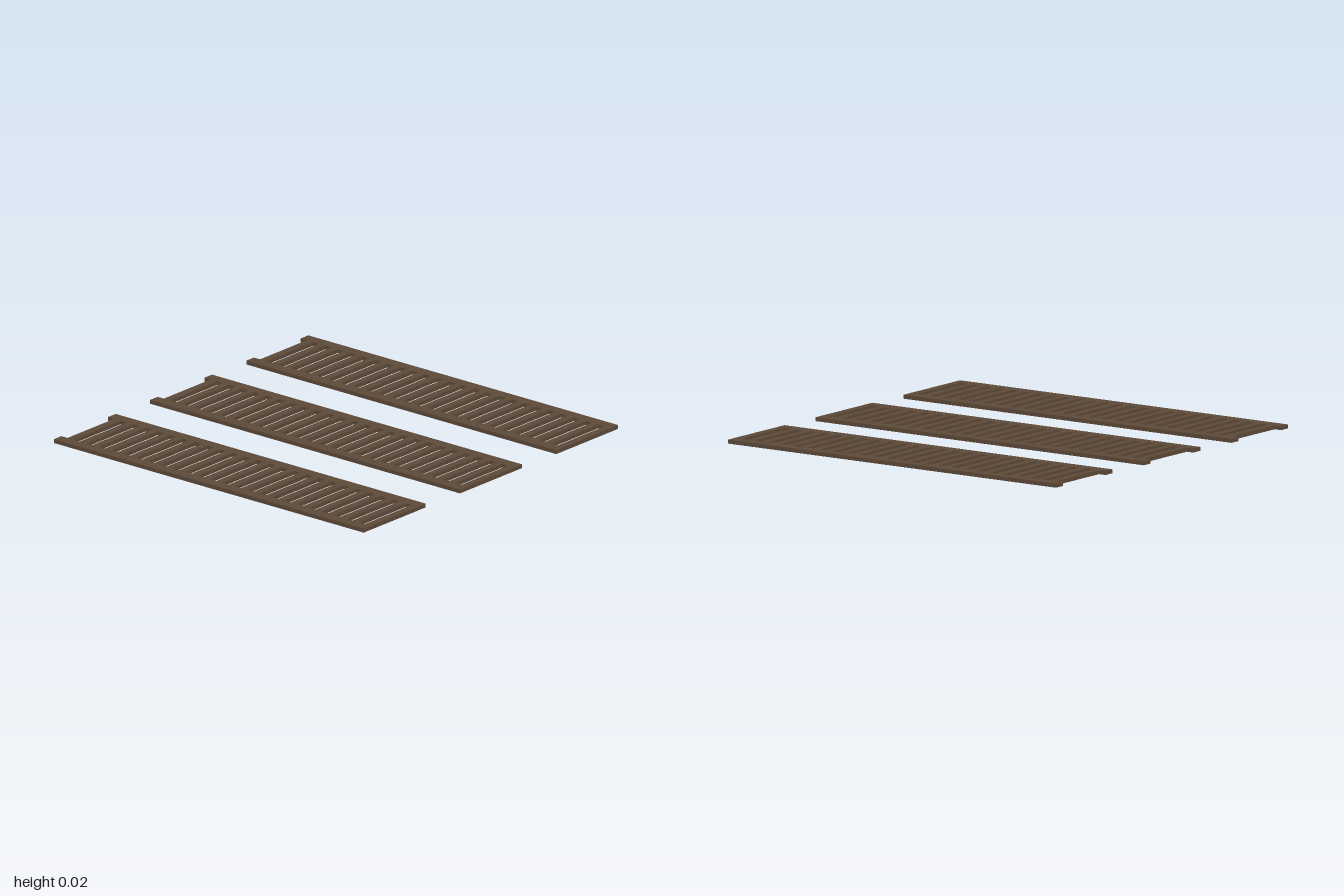
import * as THREE from 'three';

const LENGTH = 2, THICK = 0.02;
const PANEL_WIDTH = 0.475, RAIL_WIDTH = 0.058, PANEL_PITCH = 0.7375;
const SLATS = 25, SLAT_WIDTH = 0.04, SLAT_PITCH = 0.08;

export function createModel() {
  const model = new THREE.Group();
  model.name = 'slattedPanels';
  const wood = new THREE.MeshStandardMaterial({ color: 0x5c4938 });

  const railGeometry = new THREE.BoxGeometry(LENGTH, THICK, RAIL_WIDTH);
  const slatGeometry = new THREE.BoxGeometry(SLAT_WIDTH, THICK, PANEL_WIDTH - 2 * RAIL_WIDTH);

  const addPart = (parent, geometry, name, x, z) => {
    const mesh = new THREE.Mesh(geometry, wood);
    mesh.name = name;
    mesh.position.set(x, THICK / 2, z);
    parent.add(mesh);
  };

  // Three identical panels side by side
  for (const [name, row] of [['backPanel', -1], ['middlePanel', 0], ['frontPanel', 1]]) {
    const panel = new THREE.Group();
    panel.name = name;
    panel.position.z = row * PANEL_PITCH;

    // Long rails along both edges
    const railZ = (PANEL_WIDTH - RAIL_WIDTH) / 2;
    addPart(panel, railGeometry, 'frontRail', 0, railZ);
    addPart(panel, railGeometry, 'backRail', 0, -railZ);

    // Cross slats: the last is flush with the +x end, the -x end stays open
    for (let i = 0; i < SLATS; i++) {
      addPart(panel, slatGeometry, `slat${i + 1}`, LENGTH / 2 - SLAT_WIDTH / 2 - i * SLAT_PITCH, 0);
    }
    model.add(panel);
  }
  return model;
}
